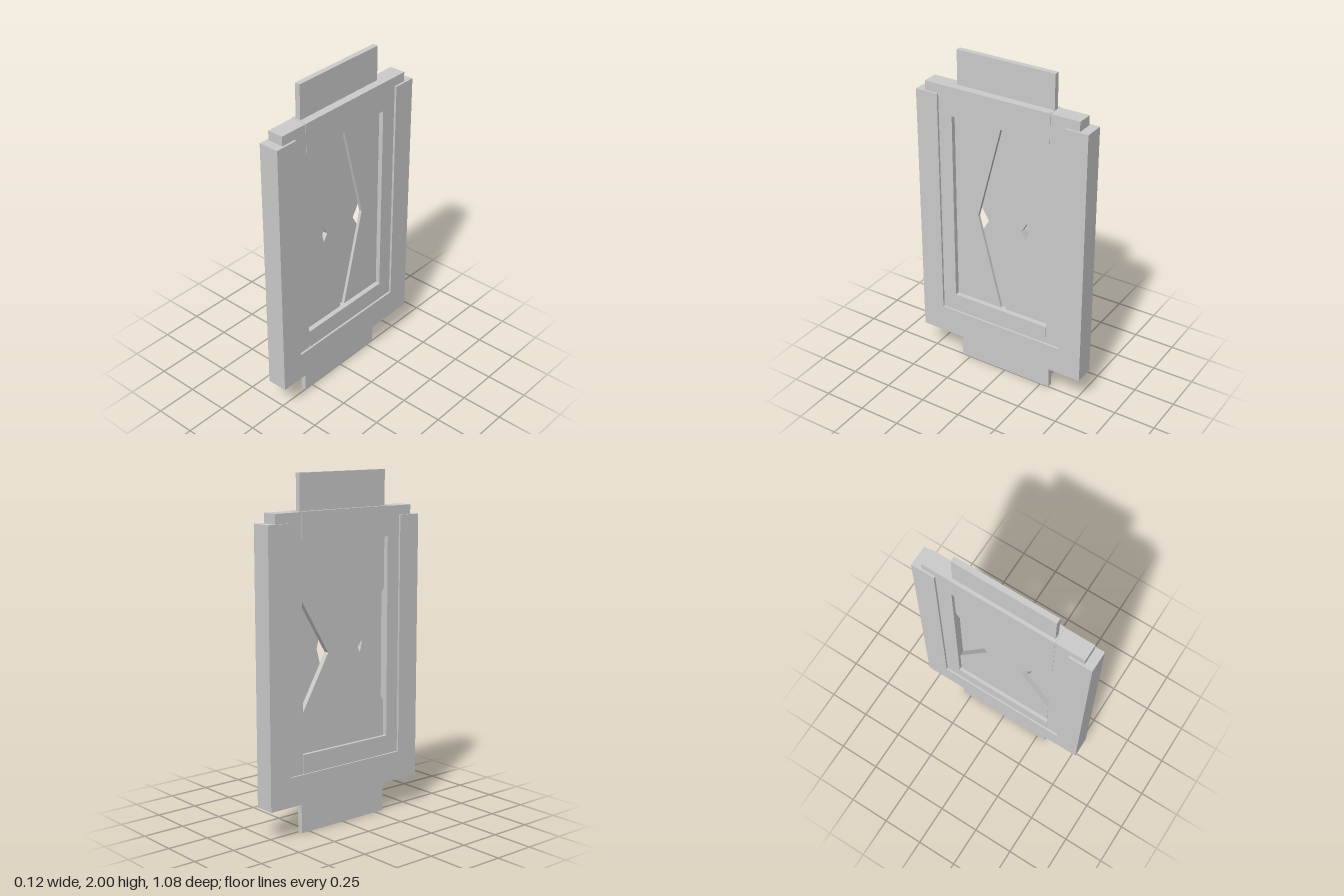
import * as THREE from 'three';

const material = new THREE.MeshStandardMaterial({ color: 0xcccccc });

// Cuts a panel from a [z, y] outline (with optional hole) spanning x0..x1
function panel(name, outline, x0, x1, hole) {
  const points = (list) => list.map(([z, y]) => new THREE.Vector2(z, y));
  const shape = new THREE.Shape(points(outline));
  if (hole) shape.holes.push(new THREE.Path(points(hole)));
  const geometry = new THREE.ExtrudeGeometry(shape, { depth: x1 - x0, bevelEnabled: false });
  geometry.rotateY(-Math.PI / 2).translate(x1, 0, 0);
  const mesh = new THREE.Mesh(geometry, material);
  mesh.name = name;
  return mesh;
}

const rect = (z0, y0, z1, y1) => [[z0, y0], [z1, y0], [z1, y1], [z0, y1]];

// U outline, open at the top
const uShape = (inner, floor) => [
  [-0.54, 0.18], [0.54, 0.18], [0.54, 1.74], [inner, 1.74],
  [inner, floor], [-inner, floor], [-inner, 1.74], [-0.54, 1.74],
];

export function createModel() {
  const model = new THREE.Group();
  model.name = 'slidingShutter';

  // Outer channel: a core with two lips that hold the inner frame
  const channel = new THREE.Group();
  channel.name = 'outerChannel';
  channel.add(
    panel('channelCore', uShape(0.485, 0.27), -0.05, 0.047),
    panel('lipRight', uShape(0.4, 0.35), 0.047, 0.06),
    panel('lipLeft', uShape(0.4, 0.35), -0.062, -0.05),
  );
  model.add(channel);

  // Inner frame: two stiles and two slightly proud rails around the window
  const frame = new THREE.Group();
  frame.name = 'innerFrame';
  frame.add(
    panel('stileFront', rect(0.315, 0.27, 0.488, 1.795), -0.05, 0.046),
    panel('stileBack', rect(-0.483, 0.27, -0.307, 1.795), -0.05, 0.046),
    panel('topRail', rect(-0.307, 1.625, 0.315, 1.797), -0.052, 0.048),
    panel('bottomRail', rect(-0.307, 0.27, 0.315, 0.46), -0.052, 0.048),
  );
  model.add(frame);

  // Side leaves, notched to leave a diamond opening between them
  for (const s of [1, -1]) {
    model.add(panel(s > 0 ? 'sideLeafFront' : 'sideLeafBack', [
      [s * 0.34, 1.65], [s * 0.005, 1.65], [s * 0.167, 1.03],
      [s * 0.012, 0.44], [s * 0.34, 0.44],
    ], 0, 0.018));
  }

  // Upper and lower slides: handles outside, tapered to a neck in the window
  const slide = (name, end, shoulder, neck) => panel(name, [
    [-0.305, end], [0.305, end], [0.305, shoulder],
    [0.107, neck], [-0.11, neck], [-0.305, shoulder],
  ], -0.032, 0);
  model.add(
    slide('upperSlide', 2, 1.33, 1.007),
    slide('lowerSlide', 0, 0.67, 1.007),
  );

  return model;
}
